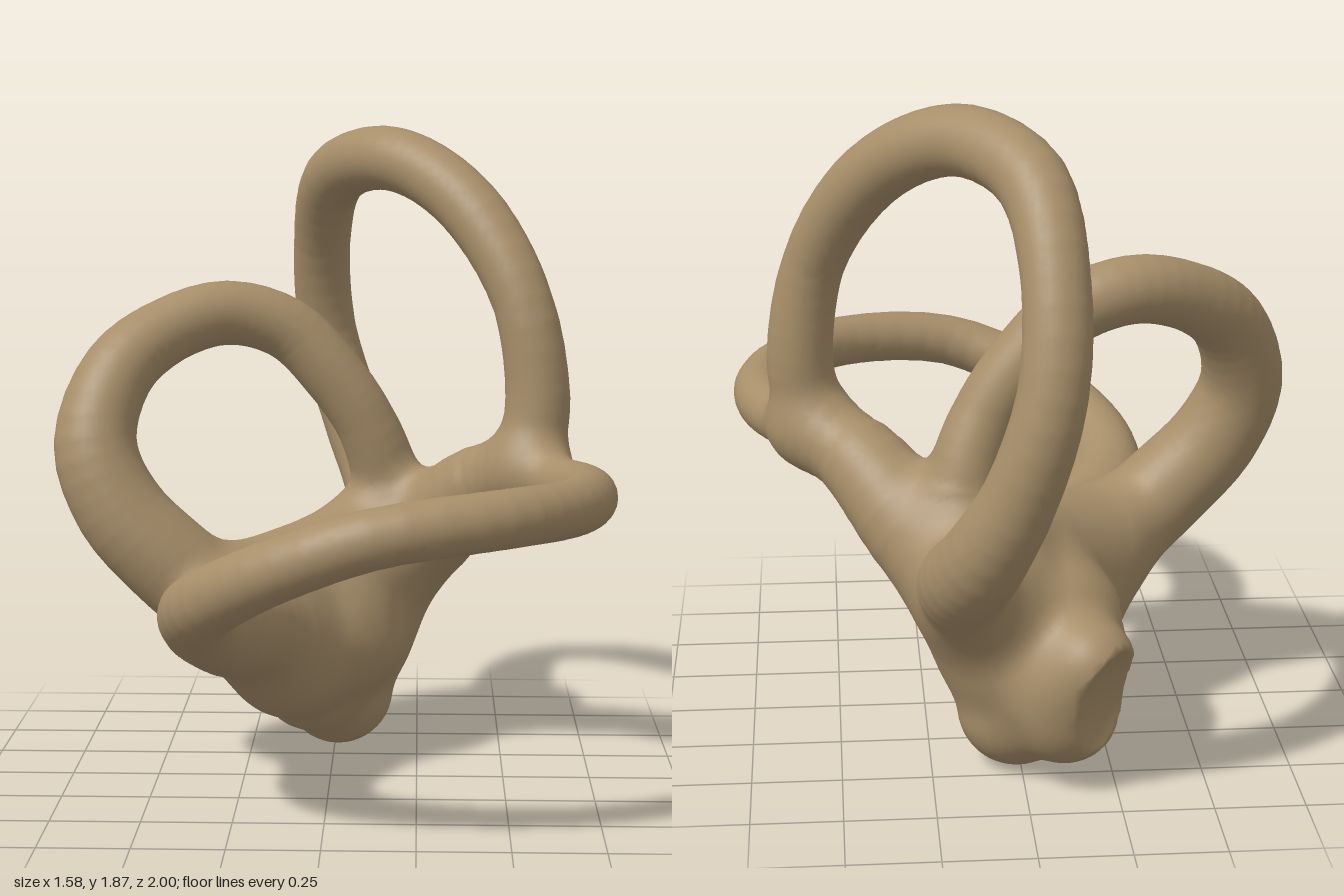
import * as THREE from 'three';

// Every limb is a swept path of [x, y, z, radius]; blobs are single balls.
const LIMBS = {
  uprightCanal: [
    [0.57, 0.92, -0.06, 0.095], [0.592, 1.1, -0.066, 0.093], [0.548, 1.37, -0.088, 0.086],
    [0.425, 1.6, -0.19, 0.092], [0.28, 1.73, -0.31, 0.093], [0.14, 1.775, -0.43, 0.095],
    [-0.01, 1.71, -0.64, 0.095], [-0.055, 1.5, -0.81, 0.088], [-0.04, 1.22, -0.9, 0.09],
    [0.04, 0.95, -0.885, 0.098], [0.13, 0.75, -0.8, 0.115], [0.17, 0.63, -0.66, 0.125],
    [0.1, 0.53, -0.5, 0.135],
  ],
  sideCanal: [
    [-0.18, 0.42, -0.08, 0.14], [-0.32, 0.52, 0.02, 0.14], [-0.46, 0.64, 0.05, 0.135],
    [-0.6, 0.79, 0.05, 0.128], [-0.672, 0.97, 0.02, 0.118], [-0.615, 1.17, -0.07, 0.106],
    [-0.48, 1.28, -0.18, 0.096], [-0.31, 1.325, -0.27, 0.094], [-0.14, 1.275, -0.31, 0.092],
    [-0.01, 1.145, -0.32, 0.092], [0.09, 1.0, -0.33, 0.09], [0.15, 0.83, -0.36, 0.1],
    [0.15, 0.65, -0.38, 0.13],
  ],
  levelCanal: [
    [0.57, 0.88, -0.05, 0.075], [0.65, 0.872, 0.08, 0.075], [0.702, 0.875, 0.22, 0.078],
    [0.712, 0.88, 0.38, 0.079], [0.648, 0.885, 0.6, 0.076], [0.46, 0.89, 0.81, 0.077],
    [0.13, 0.855, 0.92, 0.078], [-0.14, 0.75, 0.85, 0.084], [-0.31, 0.635, 0.68, 0.094],
    [-0.34, 0.56, 0.48, 0.108], [-0.275, 0.49, 0.25, 0.14], [-0.2, 0.46, 0.05, 0.16],
  ],
  commonStem: [
    [0.55, 0.88, -0.07, 0.09], [0.43, 0.825, -0.18, 0.12], [0.28, 0.67, -0.32, 0.145],
    [0.12, 0.52, -0.4, 0.16],
  ],
  vestibuleRidge: [[-0.25, 0.53, -0.07, 0.14], [-0.08, 0.575, -0.2, 0.14], [0.08, 0.61, -0.35, 0.15]],
};
const BLOBS = [
  [0.01, 0.165, -0.4, 0.165], [-0.11, 0.22, -0.54, 0.155], [-0.05, 0.38, -0.4, 0.25],
  [-0.12, 0.38, -0.1, 0.2], [0.1, 0.52, -0.45, 0.18], [-0.17, 0.38, -0.62, 0.125],
  [-0.06, 0.24, -0.25, 0.165], [-0.12, 0.33, -0.07, 0.165], [0.06, 0.36, -0.38, 0.18],
  [-0.1, 0.3, -0.57, 0.13], [0.03, 0.38, -0.2, 0.18], [0.03, 0.5, -0.2, 0.15],
];
// Shallow scoops that form the two open windows at the back
const WINDOWS = [[-0.44, 0.2, -0.86, 0.35], [-0.42, 0.37, -0.37, 0.19]];

// Turn a path into short round segments with blended radius
function segments(points) {
  const curve = new THREE.CatmullRomCurve3(points.map(p => new THREE.Vector3(...p)));
  const last = points.length - 1, count = last * 4, samples = [];
  for (let i = 0; i <= count; i++) {
    const u = (i / count) * last, k = Math.min(Math.floor(u), last - 1);
    const r = THREE.MathUtils.lerp(points[k][3], points[k + 1][3], u - k);
    samples.push([...curve.getPoint(i / count).toArray(), r]);
  }
  return samples.slice(1).map((b, i) => {
    const a = samples[i], d = [b[0] - a[0], b[1] - a[1], b[2] - a[2]];
    return { a, d, len2: d[0] * d[0] + d[1] * d[1] + d[2] * d[2], dr: b[3] - a[3] };
  });
}

const ball = (b, x, y, z) => Math.sqrt((x - b[0]) ** 2 + (y - b[1]) ** 2 + (z - b[2]) ** 2) - b[3];

function limbDistance(segs, x, y, z) {
  let best = Infinity;
  for (const { a, d, len2, dr } of segs) {
    const px = x - a[0], py = y - a[1], pz = z - a[2];
    const t = Math.min(1, Math.max(0, (px * d[0] + py * d[1] + pz * d[2]) / len2));
    const qx = px - d[0] * t, qy = py - d[1] * t, qz = pz - d[2] * t;
    best = Math.min(best, Math.sqrt(qx * qx + qy * qy + qz * qz) - a[3] - dr * t);
  }
  return best;
}

// Smooth union, which fillets the joints
function blend(a, b, k = 0.1) {
  const h = Math.max(k - Math.abs(a - b), 0) / k;
  return Math.min(a, b) - h * h * k * 0.25;
}

export function createModel() {
  const names = Object.keys(LIMBS);
  const limbs = names.map(n => segments(LIMBS[n]));

  const field = (x, y, z) => {
    let d = ball(BLOBS[0], x, y, z);
    for (const b of BLOBS.slice(1)) d = blend(d, ball(b, x, y, z), 0.07);
    for (const limb of limbs) d = blend(d, limbDistance(limb, x, y, z));
    for (const w of WINDOWS) d = Math.max(d, -ball(w, x, y, z));
    return d;
  };
  const normalAt = (x, y, z, e = 0.008) => new THREE.Vector3(
    field(x + e, y, z) - field(x - e, y, z),
    field(x, y + e, z) - field(x, y - e, z),
    field(x, y, z + e) - field(x, y, z - e)).normalize();

  // Part that a surface point belongs to; the last name stands for the vestibule
  const ownerOf = (x, y, z) => {
    let best = Math.min(...BLOBS.map(b => ball(b, x, y, z))), owner = names.length - 1;
    limbs.forEach((limb, i) => {
      const d = limbDistance(limb, x, y, z);
      if (d < best) { best = d; owner = i; }
    });
    return owner;
  };

  // Sample the field on a grid
  const step = 0.022, min = [-0.9, -0.1, -1.1], size = [82, 93, 101];
  const stride = [1, size[0], size[0] * size[1]];
  const values = new Float32Array(size[0] * size[1] * size[2]);
  const eachPoint = (from, to, visit) => {
    for (let k = from; k < size[2] - to; k++)
      for (let j = from; j < size[1] - to; j++)
        for (let i = from; i < size[0] - to; i++)
          visit(i, j, k, i + j * stride[1] + k * stride[2]);
  };
  eachPoint(0, 0, (i, j, k, at) => {
    values[at] = field(min[0] + i * step, min[1] + j * step, min[2] + k * step);
  });

  // One surface vertex in each grid cell the skin passes through
  const cellVertex = new Int32Array(values.length).fill(-1);
  const positions = [], normals = [], owners = [];
  eachPoint(0, 1, (i, j, k, at) => {
    const sum = [0, 0, 0];
    let hits = 0;
    for (let c = 0; c < 8; c++) {
      const corner = [c & 1, (c >> 1) & 1, c >> 2];
      const p = at + corner[0] + corner[1] * stride[1] + corner[2] * stride[2];
      for (let axis = 0; axis < 3; axis++) {
        if (corner[axis]) continue;
        const v0 = values[p], v1 = values[p + stride[axis]];
        if ((v0 < 0) === (v1 < 0)) continue;
        corner.forEach((o, n) => { sum[n] += o + (n === axis ? v0 / (v0 - v1) : 0); });
        hits++;
      }
    }
    if (!hits) return;
    const v = new THREE.Vector3(...[i, j, k].map((g, n) => min[n] + (g + sum[n] / hits) * step));
    v.addScaledVector(normalAt(v.x, v.y, v.z), -field(v.x, v.y, v.z));
    cellVertex[at] = owners.length;
    positions.push(v.x, v.y, v.z);
    normals.push(...normalAt(v.x, v.y, v.z).toArray());
    owners.push(ownerOf(v.x, v.y, v.z));
  });

  // Join neighbouring cells with quads, sorted by part
  const faces = names.map(() => []);
  eachPoint(1, 1, (i, j, k, at) => {
    for (let axis = 0; axis < 3; axis++) {
      const inside = values[at] < 0;
      if (inside === (values[at + stride[axis]] < 0)) continue;
      const b = stride[(axis + 1) % 3], c = stride[(axis + 2) % 3];
      const quad = [at - b - c, at - c, at, at - b].map(n => cellVertex[n]);
      if (!inside) quad.reverse();
      const [p, q, r, s] = quad;
      faces[owners[p]].push(p, q, r, p, r, s);
    }
  });

  const bone = new THREE.MeshStandardMaterial({ color: 0xa78e69 });
  bone.name = 'tan bone';
  const model = new THREE.Group();
  model.name = 'innerEar';
  names.forEach((name, i) => {
    const shared = new THREE.BufferGeometry();
    shared.setAttribute('position', new THREE.Float32BufferAttribute(positions, 3));
    shared.setAttribute('normal', new THREE.Float32BufferAttribute(normals, 3));
    shared.setIndex(faces[i]);
    const mesh = new THREE.Mesh(shared.toNonIndexed(), bone);
    mesh.name = name === 'vestibuleRidge' ? 'vestibule' : name;
    model.add(mesh);
  });
  return model;
}
